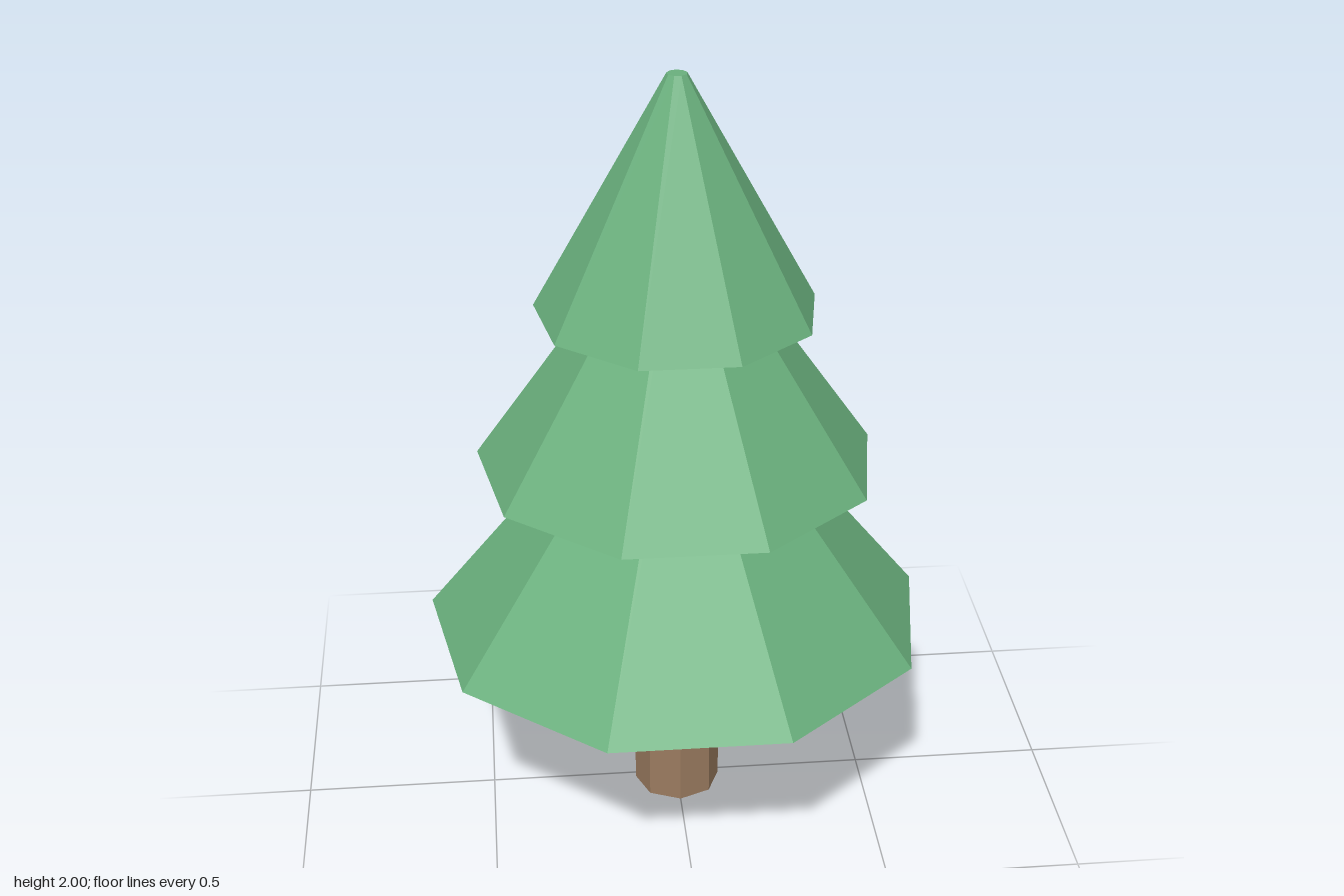
import * as THREE from 'three';

const CENTER_Z = 0.017;

export function createModel() {
  const needles = new THREE.MeshStandardMaterial({ color: 0x6ab07d, flatShading: true });
  needles.name = 'needleGreen';
  const bark = new THREE.MeshStandardMaterial({ color: 0x9a7b5f, flatShading: true });
  bark.name = 'barkBrown';

  const tree = new THREE.Group();
  tree.name = 'pineTree';

  // Faceted frustum standing between two heights
  function addFrustum(name, material, sides, bottomRadius, topRadius, y0, y1, start) {
    const geometry = new THREE.CylinderGeometry(topRadius, bottomRadius, y1 - y0, sides, 1, false, start);
    const mesh = new THREE.Mesh(geometry, material);
    mesh.name = name;
    mesh.position.set(0, (y0 + y1) / 2, CENTER_Z);
    tree.add(mesh);
  }

  // Octagonal trunk, tucked into the lowest tier
  addFrustum('trunk', bark, 8, 0.113, 0.113, 0, 0.6, 0);

  // Nine-sided foliage tiers with a corner at the back: [name, radius, bottom, top]
  const tiers = [
    ['lowerFoliage', 0.652, 0.53, 1.32],
    ['middleFoliage', 0.512, 0.985, 1.69],
    ['upperFoliage', 0.355, 1.4, 2],
  ];
  for (const [name, radius, y0, y1] of tiers) {
    addFrustum(name, needles, 9, radius, 0.025, y0, y1, Math.PI);
  }

  return tree;
}
